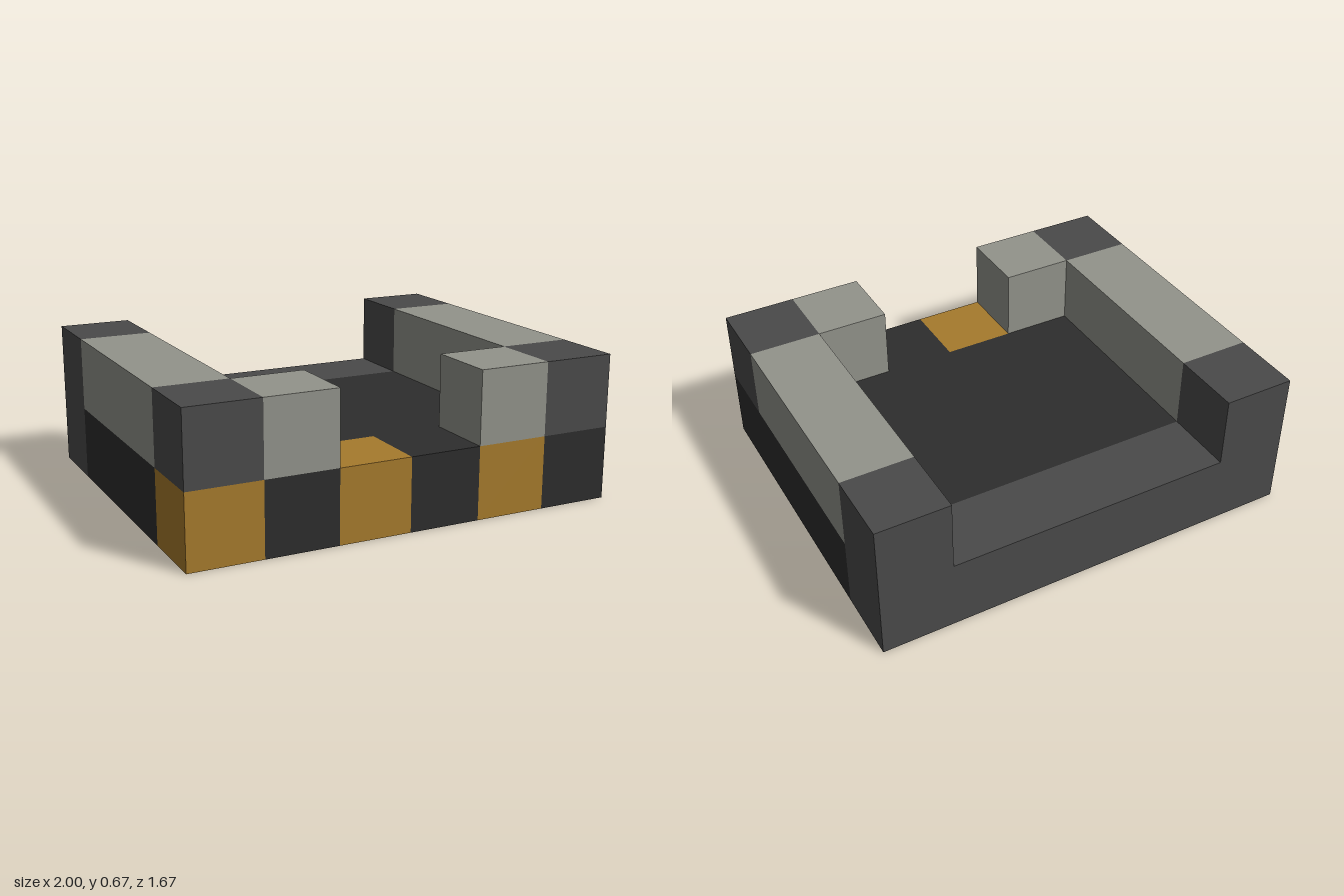
import * as THREE from 'three';

const U = 1 / 3; // one block

const material = (name, color) => {
  const m = new THREE.MeshStandardMaterial({ color });
  m.name = name;
  return m;
};

export function createModel() {
  const gold = material('gold', 0xa67a2c);
  const charcoal = material('charcoal', 0x2d2d2d);
  const darkGrey = material('dark grey', 0x4a4a4a);
  const lightGrey = material('light grey', 0x92938b);

  const model = new THREE.Group();
  model.name = 'blockTray';

  // Box from its minimum corner and size, counted in blocks (6 wide, 2 high, 5 deep)
  const block = (name, mat, x, y, z, w, h, d) => {
    const mesh = new THREE.Mesh(new THREE.BoxGeometry(w * U, h * U, d * U), mat);
    mesh.position.set((x + w / 2 - 3) * U, (y + h / 2) * U, (z + d / 2 - 2.5) * U);
    mesh.name = name;
    model.add(mesh);
  };

  // Base slab, back sill and striped front row
  block('floor', charcoal, 0, 0, 1, 6, 1, 3);
  block('backSill', darkGrey, 1, 0, 0, 4, 1, 1);
  for (let i = 0; i < 6; i++) {
    block('frontStripe' + (i + 1), i % 2 ? charcoal : gold, i, 0, 4, 1, 1, 1);
  }

  // Walls and corner posts, the same on both sides
  for (const [side, outer, inner] of [['right', 0, 1], ['left', 5, 4]]) {
    block(side + 'BackPost', darkGrey, outer, 0, 0, 1, 2, 1);
    block(side + 'Wall', lightGrey, outer, 1, 1, 1, 1, 3);
    block(side + 'FrontPost', darkGrey, outer, 1, 4, 1, 1, 1);
    block(side + 'FrontWall', lightGrey, inner, 1, 4, 1, 1, 1);
  }

  return model;
}
